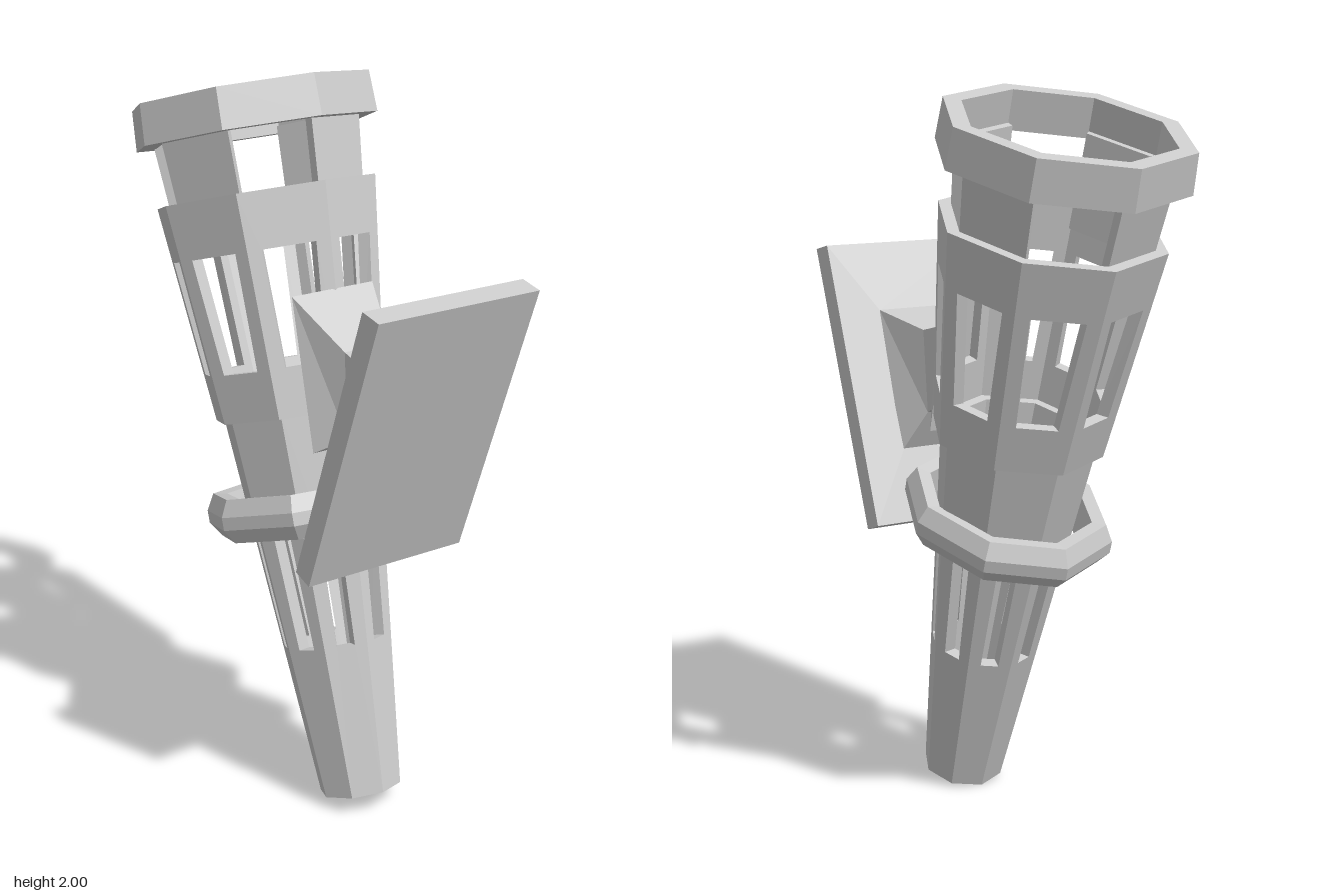
import * as THREE from 'three';

const SIDES = 8;
const HALF = Math.PI / SIDES;
const material = new THREE.MeshStandardMaterial({ color: 0xcccccc, flatShading: true });

// Outer corner radius of the long tapering shaft at height s along its axis
const shaftRadius = (s) => 0.115 + 0.095 * s;
const cupRadius = (s) => THREE.MathUtils.mapLinear(s, 1.077, 1.677, 0.24, 0.309);

function addMesh(parent, name, geometry) {
  const mesh = new THREE.Mesh(geometry, material);
  mesh.name = name;
  parent.add(mesh);
  return mesh;
}

// One mitred wall panel of an octagonal shell, with an optional window
function wallPanel(side, s0, s1, radius, thickness, hole) {
  const shape = new THREE.Shape([[-1, s0], [1, s0], [1, s1], [-1, s1]].map(([u, s]) => new THREE.Vector2(u, s)));
  if (hole) {
    const { low, high, lowWidth: a, highWidth: b } = hole;
    shape.holes.push(new THREE.Path([[-a, low], [-b, high], [b, high], [a, low]].map(([u, s]) => new THREE.Vector2(u, s))));
  }
  const geometry = new THREE.ExtrudeGeometry(shape, { depth: 1, bevelEnabled: false });
  const p = geometry.attributes.position;
  for (let i = 0; i < p.count; i++) {
    const s = p.getY(i);
    const r = radius(s) - (1 - p.getZ(i)) * thickness;
    p.setXYZ(i, p.getX(i) * r * Math.sin(HALF), s, r * Math.cos(HALF));
  }
  geometry.rotateY((2 * side + 1) * HALF);
  geometry.computeVertexNormals();
  return geometry;
}

// Closed octagonal ring from a cross-section of [radius, height] points
function ringGeometry(profile) {
  const points = [...profile, profile[0]].map(([r, s]) => new THREE.Vector2(r, s));
  return new THREE.LatheGeometry(points, SIDES);
}

// Solid through rectangular sections [topZ, topY, bottomZ, bottomY, halfWidth], front to back
function loft(sections) {
  const positions = [];
  const index = [0, 1, 2, 0, 2, 3];
  for (const [tz, ty, bz, by, w] of sections) {
    positions.push(-w, ty, tz, -w, by, bz, w, by, bz, w, ty, tz);
  }
  for (let i = 0; i < sections.length - 1; i++) {
    for (let j = 0; j < 4; j++) {
      const a = i * 4 + j;
      const b = i * 4 + ((j + 1) % 4);
      index.push(a, a + 4, b, b, a + 4, b + 4);
    }
  }
  const e = (sections.length - 1) * 4;
  index.push(e, e + 2, e + 1, e, e + 3, e + 2);
  const geometry = new THREE.BufferGeometry();
  geometry.setAttribute('position', new THREE.Float32BufferAttribute(positions, 3));
  geometry.setIndex(index);
  geometry.computeVertexNormals();
  return geometry;
}

export function createModel() {
  const model = new THREE.Group();
  model.name = 'wallTorch';

  // Torch leaning away from the wall plate
  const torch = new THREE.Group();
  torch.name = 'torch';
  torch.position.set(0, 0.037, 0.243);
  torch.rotation.x = THREE.MathUtils.degToRad(-16.6);
  model.add(torch);

  const slot = { low: 0.43, high: 0.8, lowWidth: 0.42, highWidth: 0.38 };
  const window = { low: 1.21, high: 1.525, lowWidth: 0.575, highWidth: 0.65 };
  for (let side = 0; side < SIDES; side++) {
    // Slotted handle and neck
    addMesh(torch, 'handlePanel', wallPanel(side, 0, 1.1, shaftRadius, 0.04, slot));
    // Windowed cup
    addMesh(torch, 'cupPanel', wallPanel(side, 1.077, 1.677, cupRadius, 0.035, window));
    // Posts on every other side carry the top rim
    if (side % 2 === 0) addMesh(torch, 'rimPost', wallPanel(side, 1.6, 1.86, shaftRadius, 0.03));
  }

  // Closed foot of the handle
  const foot = addMesh(torch, 'handleFoot', new THREE.CylinderGeometry(0.1155, 0.115, 0.02, SIDES));
  foot.position.y = 0.01;

  // Top rim
  addMesh(torch, 'topRim', ringGeometry([[0.285, 1.84], [0.341, 1.84], [0.335, 1.951], [0.285, 1.951]]));

  // Loose holding ring, slightly off centre and longer front to back
  const ring = addMesh(torch, 'holdingRing', ringGeometry([
    [0.225, -0.05], [0.27, -0.06], [0.3, -0.02], [0.3, 0.015], [0.275, 0.06], [0.235, 0.055],
  ]));
  ring.position.set(-0.022, 0.82, 0.018);
  ring.rotation.x = THREE.MathUtils.degToRad(-1.2);
  ring.scale.set(0.945, 1, 1.08);

  // Wall plate and waisted bracket, turned a little to one side
  const mount = new THREE.Group();
  mount.name = 'wallMount';
  mount.position.z = 0.3;
  mount.rotation.y = THREE.MathUtils.degToRad(2.2);
  model.add(mount);
  const plateBack = [0.566, 1.542, 0.291, 0.775, 0.25];
  const plate = addMesh(mount, 'wallPlate', loft([[0.63, 1.527, 0.349, 0.754, 0.25], plateBack]));
  const bracket = addMesh(mount, 'bracket', loft([
    plateBack,
    [0.487, 1.357, 0.365, 0.966, 0.125],
    [0.323, 1.315, 0.302, 1.082, 0.077],
    [0.259, 1.331, 0.275, 1.098, 0.073],
    [0.106, 1.452, 0.201, 1.05, 0.13],
  ]));
  plate.position.z = bracket.position.z = -0.3;

  return model;
}
